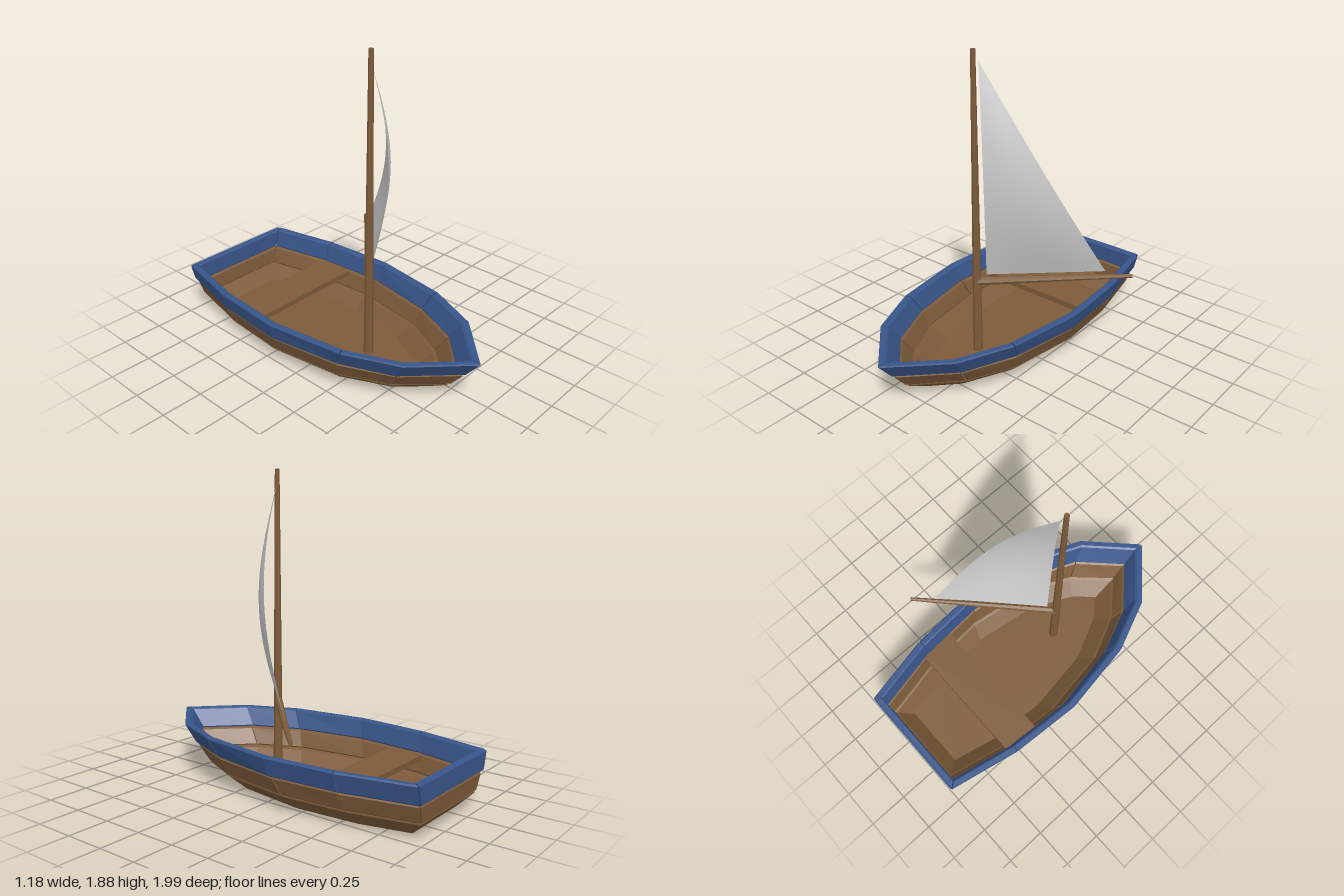
import * as THREE from 'three';

const mat = (color, extra = {}) => new THREE.MeshStandardMaterial({ color, ...extra });
const wood = mat(0x7d5b3a, { flatShading: true });
const blue = mat(0x38558a, { flatShading: true });
const cloth = mat(0xcccccc, { side: THREE.DoubleSide });

// Half outlines of the hull, stern to bow, as [x, z]
const RIM = [[0.38, -1], [0.475, -0.55], [0.505, -0.1], [0.435, 0.38], [0.295, 0.71], [0, 1]];
const RIM_FOOT = [[0.35, -1], [0.445, -0.56], [0.475, -0.12], [0.4, 0.32], [0.27, 0.63], [0, 0.9]];
const SIDE = [[0.34, -0.99], [0.435, -0.56], [0.463, -0.13], [0.395, 0.32], [0.258, 0.63], [0, 0.89]];
const CHINE = [[0.305, -0.98], [0.395, -0.57], [0.425, -0.17], [0.36, 0.28], [0.228, 0.56], [0, 0.8]];
const BOTTOM = [[0.225, -0.88], [0.295, -0.58], [0.32, -0.2], [0.26, 0.21], [0.13, 0.49], [0, 0.625]];

// Closed loop: port side to the bow, then back along starboard
const mirror = half => [...half, ...half.slice(0, -1).reverse().map(([x, z]) => [-x, z])];

// Moves a loop inward by t with mitred corners
function inset(loop, t) {
  const n = loop.length;
  const normal = (a, b) => {
    const dx = b[0] - a[0], dz = b[1] - a[1], l = Math.hypot(dx, dz);
    return [-dz / l, dx / l];
  };
  return loop.map((p, i) => {
    const a = normal(loop[(i + n - 1) % n], p), b = normal(p, loop[(i + 1) % n]);
    const k = t / (1 + a[0] * b[0] + a[1] * b[1]);
    return [p[0] + k * (a[0] + b[0]), p[1] + k * (a[1] + b[1])];
  });
}

// Chamfered plank following the hull from station i0 to i1
function plank(lower, upper, y0, y1, thick, i0, i1, gap) {
  const lo = mirror(lower), up = mirror(upper), n = lo.length;
  const loIn = inset(lo, thick), upIn = inset(up, thick);
  const c = 0.008 / thick, s = 0.008 / (y1 - y0);
  const profile = [[0, s], [0, 1 - s], [c, 1], [1 - c, 1], [1, 1 - s], [1, s], [1 - c, 0], [c, 0]];
  const V = (p, y) => new THREE.Vector3(p[0], y, p[1]);
  const rings = [];
  for (let i = i0; i <= i1; i++) {
    const k = i % n;
    rings.push(profile.map(([t, h]) =>
      V(lo[k], y0).lerp(V(loIn[k], y0), t).lerp(V(up[k], y1).lerp(V(upIn[k], y1), t), h)));
  }
  // Shorten both ends to leave a narrow seam
  const m = rings.length - 1;
  const shorten = (a, b) => a.map((p, i) => p.clone().lerp(b[i], gap / p.distanceTo(b[i])));
  const first = shorten(rings[0], rings[1]), last = shorten(rings[m], rings[m - 1]);
  rings[0] = first;
  rings[m] = last;
  const pos = [];
  const tri = (...pts) => pts.forEach(p => pos.push(p.x, p.y, p.z));
  for (let j = 0; j < m; j++) for (let i = 0; i < 8; i++) {
    const k = (i + 1) % 8, A = rings[j], B = rings[j + 1];
    tri(A[i], A[k], B[k]);
    tri(A[i], B[k], B[i]);
  }
  for (let i = 1; i < 7; i++) {
    tri(first[0], first[i + 1], first[i]);
    tri(last[0], last[i], last[i + 1]);
  }
  const g = new THREE.BufferGeometry();
  g.setAttribute('position', new THREE.Float32BufferAttribute(pos, 3));
  g.computeVertexNormals();
  return g;
}

// Triangular sail bellied out sideways from the boom
function sailGeometry() {
  const tack = new THREE.Vector3(-0.045, 0.55, 0.165);
  const clew = new THREE.Vector3(0.465, 0.545, -0.315);
  const peak = new THREE.Vector3(-0.07, 1.815, 0.18);
  const out = new THREE.Vector3(0.68, 0, 0.73);
  const g = new THREE.PlaneGeometry(1, 1, 12, 24);
  const pos = g.attributes.position;
  for (let i = 0; i < pos.count; i++) {
    const u = pos.getX(i) + 0.5, v = pos.getY(i) + 0.5;
    const belly = Math.sin(Math.PI * v) * (0.1 + 0.04 * Math.sin(Math.PI * u) * (1 - v));
    const p = tack.clone().lerp(clew, u).lerp(peak, v).addScaledVector(out, belly);
    pos.setXYZ(i, p.x, p.y, p.z);
  }
  g.computeVertexNormals();
  return g;
}

export function createModel() {
  const boat = new THREE.Group();
  boat.name = 'sailboat';
  boat.position.x = -0.09;
  const add = (name, geometry, material, parent = boat) => {
    const mesh = new THREE.Mesh(geometry, material);
    mesh.name = name;
    parent.add(mesh);
    return mesh;
  };
  const hull = new THREE.Group();
  hull.name = 'hull';
  boat.add(hull);

  // Flat floor
  const outline = inset(mirror(BOTTOM), 0.025).map(([x, z]) => new THREE.Vector2(x, -z));
  const floor = new THREE.ExtrudeGeometry(new THREE.Shape(outline), { depth: 0.035, bevelEnabled: false });
  add('floor', floor.rotateX(-Math.PI / 2), wood, hull);

  // Strakes, from the bottom up
  add('lowerStrake', plank(BOTTOM, CHINE, 0, 0.1, 0.035, 0, 11, 0), wood, hull);
  for (const [a, b] of [[0, 2], [2, 4], [4, 6], [6, 8], [8, 10], [10, 11]])
    add('middlePlank', plank(CHINE, SIDE, 0.103, 0.208, 0.035, a, b, 0.004), wood, hull);
  for (const [a, b] of [[0, 1], [1, 3], [3, 5], [5, 7], [7, 9], [9, 10], [10, 11]])
    add('rimPlank', plank(RIM_FOOT, RIM, 0.213, 0.33, 0.045, a, b, 0.004), blue, hull);

  // Bench across the hull
  add('bench', new THREE.BoxGeometry(0.85, 0.035, 0.23), wood).position.set(0, 0.19, -0.465);

  // Mast and boom
  add('mast', new THREE.CylinderGeometry(0.014, 0.029, 1.86, 8), wood).position.set(0, 0.95, 0.2);
  const from = new THREE.Vector3(0, 0.505, 0.2), to = new THREE.Vector3(0.67, 0.505, -0.43);
  const boom = add('boom', new THREE.CylinderGeometry(0.012, 0.026, from.distanceTo(to), 8), wood);
  boom.position.copy(from).lerp(to, 0.5);
  boom.quaternion.setFromUnitVectors(new THREE.Vector3(0, 1, 0), to.clone().sub(from).normalize());

  // Sail
  add('sail', sailGeometry(), cloth).position.x = 0.09;

  const model = new THREE.Group();
  model.add(boat);
  return model;
}
